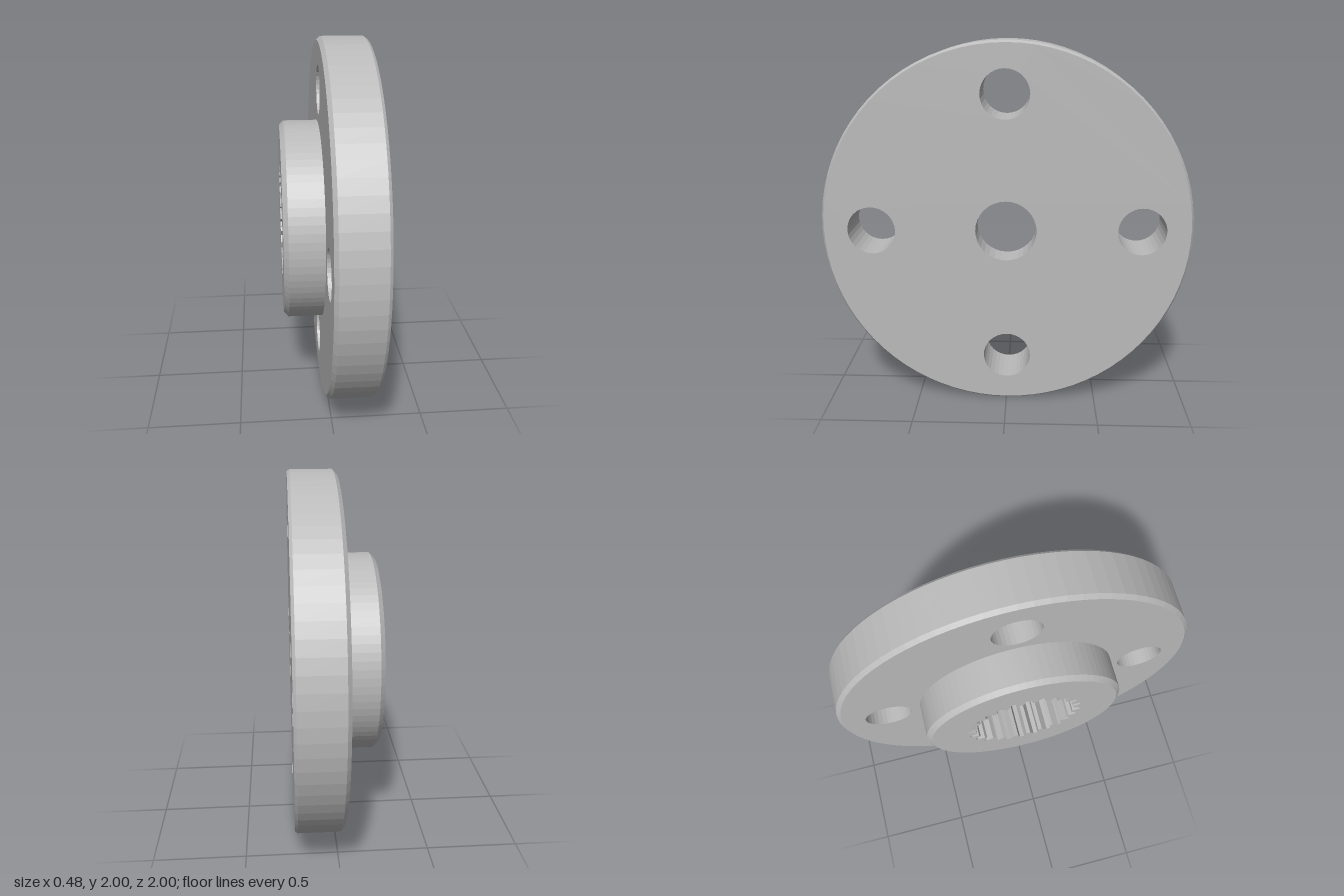
import * as THREE from 'three';

const SEG = 80, HOLE_SEG = 32;
const R = 1, HUB_R = 0.55, BORE_R = 0.165, BOLT_R = 0.13, BOLT_CIRCLE = 0.73;
const BACK = -0.24, STEP = -0.03, FLOOR = 0.08, FRONT = 0.23;
const BOLTS = [0, 1, 2, 3].map(i => [Math.cos(i * Math.PI / 2) * BOLT_CIRCLE, Math.sin(i * Math.PI / 2) * BOLT_CIRCLE]);

export function createModel() {
  const metal = new THREE.MeshStandardMaterial({ color: 0xbababa, flatShading: true });
  metal.name = 'plain grey metal';
  const wheel = new THREE.Group();
  wheel.name = 'splinedFlange';

  const add = (name, geometry) => {
    const mesh = new THREE.Mesh(geometry, metal);
    mesh.name = name;
    wheel.add(mesh);
    return mesh;
  };
  const circle = (r, n, cx = 0, cy = 0) => Array.from({ length: n }, (_, i) => {
    const a = i / n * Math.PI * 2;
    return new THREE.Vector2(cx + r * Math.cos(a), cy + r * Math.sin(a));
  });
  // Surface turned about the x axis from [radius, x] pairs; rising x faces outward
  const turned = (profile, n) => new THREE.LatheGeometry(profile.map(p => new THREE.Vector2(...p)), n).rotateZ(-Math.PI / 2);
  // Flat ring at x, facing +x or -x
  const plate = (outer, holes, x, dir) => {
    const shape = new THREE.Shape(outer);
    holes.forEach(h => shape.holes.push(new THREE.Path(h)));
    return new THREE.ShapeGeometry(shape).rotateY(dir * Math.PI / 2).translate(x, 0, 0);
  };
  const boltCircles = BOLTS.map(([a, b]) => circle(BOLT_R, HOLE_SEG, a, b));

  // Flange: chamfered rim and its two drilled faces
  add('flangeRim', turned([[R - 0.02, STEP], [R, STEP + 0.02], [R, FRONT - 0.015], [R - 0.012, FRONT]], SEG));
  add('flangeFrontFace', plate(circle(R - 0.012, SEG), [circle(BORE_R, HOLE_SEG), ...boltCircles], FRONT, 1));
  add('flangeBackFace', plate(circle(R - 0.02, SEG), [circle(HUB_R, SEG), ...boltCircles], STEP, -1));

  // Bolt holes and centre bore, facing inward
  BOLTS.forEach(([z, y], i) => {
    add('boltHole' + (i + 1), turned([[BOLT_R, FRONT], [BOLT_R, STEP]], HOLE_SEG)).position.set(0, y, z);
  });
  add('centreBore', turned([[BORE_R, FRONT], [BORE_R, FLOOR]], HOLE_SEG));

  // Hub outside with chamfered end
  add('hubRim', turned([[HUB_R - 0.025, BACK], [HUB_R, BACK + 0.025], [HUB_R, STEP]], SEG));

  // Hub core with a toothed socket
  const teeth = 24, socket = [];
  for (let i = 0; i < teeth; i++) {
    [[0, 0.32], [0.3, 0.32], [0.5, 0.28], [0.8, 0.28]].forEach(([t, r]) => {
      const a = (i + t) / teeth * Math.PI * 2;
      socket.push(new THREE.Vector2(r * Math.cos(a), r * Math.sin(a)));
    });
  }
  const core = new THREE.Shape(circle(HUB_R - 0.025, SEG));
  core.holes.push(new THREE.Path(socket));
  add('splinedSocket', new THREE.ExtrudeGeometry(core, { depth: FLOOR - BACK, bevelEnabled: false })
    .rotateY(Math.PI / 2).translate(BACK, 0, 0));
  add('socketFloor', plate(circle(0.33, SEG), [circle(BORE_R, HOLE_SEG)], FLOOR, -1));

  // The wheel stands very slightly turned
  wheel.rotation.set(0.007, -0.008, 0);
  wheel.position.y = R;
  const model = new THREE.Group();
  model.name = 'hubAdapter';
  model.add(wheel);
  return model;
}
